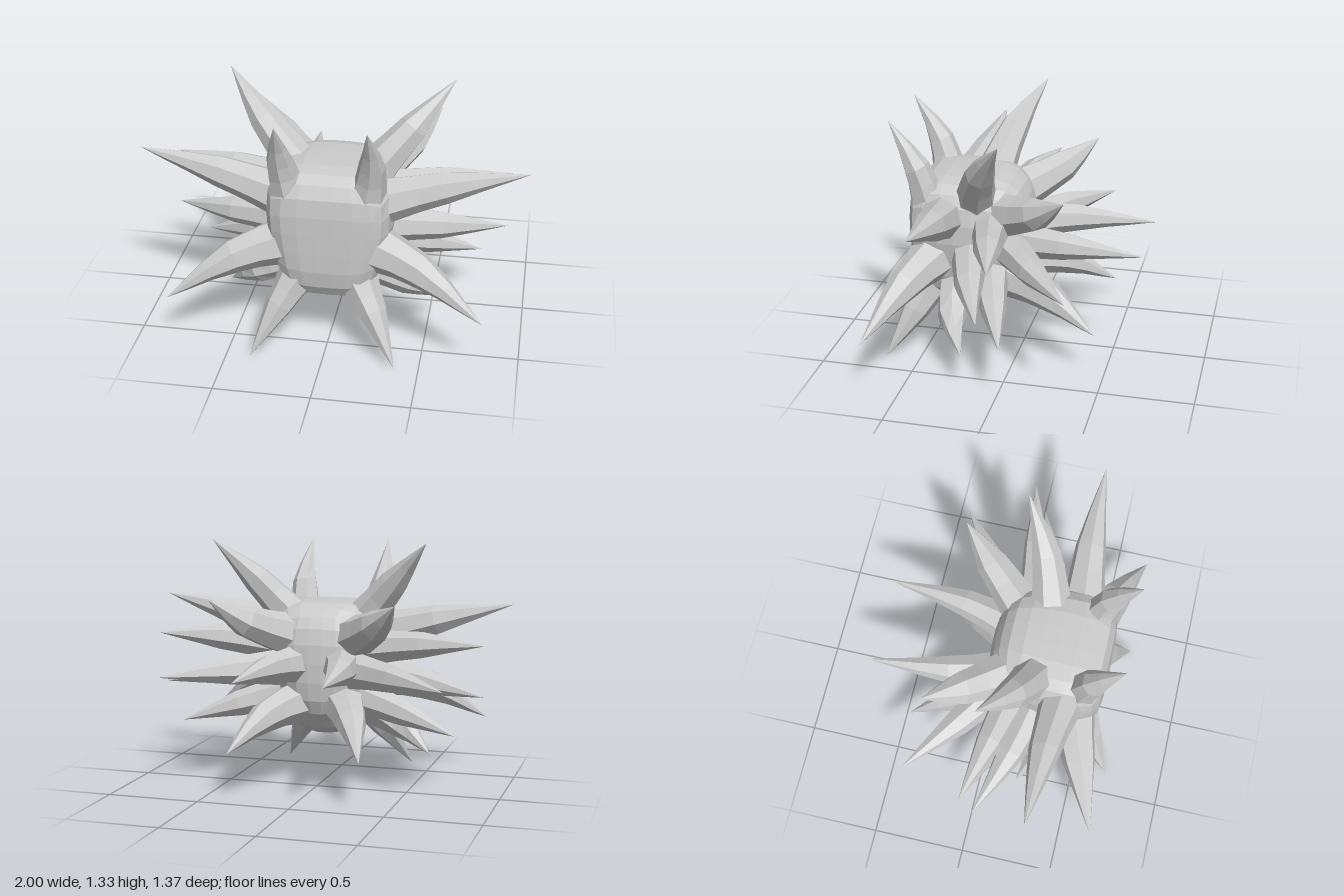
import * as THREE from 'three';

const material = new THREE.MeshStandardMaterial({ color: 0xcccccc, flatShading: true });

// Spikes on the +x side: name, root, bend and tip positions, thickness
const SPIKES = [
  ['upperFrontSpike', [0.20, 0.85, 0.465], [0.23, 1.06, 0.525], [0.225, 1.30, 0.67], 0.08],
  ['crownSpike', [0.19, 0.88, 0.22], [0.39, 1.11, 0.14], [0.59, 1.33, 0.00], 0.09],
  ['wideUpperSpike', [0.25, 0.80, 0.38], [0.58, 0.89, 0.35], [1.00, 0.99, 0.34], 0.096],
  ['upperBackSpike', [0.16, 0.80, 0.10], [0.36, 0.91, -0.14], [0.50, 1.035, -0.31], 0.10],
  ['sideUpperSpike', [0.23, 0.75, 0.13], [0.57, 0.79, 0.06], [0.905, 0.81, -0.02], 0.082],
  ['sideBackSpike', [0.17, 0.64, 0.06], [0.46, 0.635, -0.14], [0.765, 0.62, -0.37], 0.085],
  ['sideLowerSpike', [0.23, 0.60, 0.24], [0.55, 0.575, 0.165], [0.895, 0.53, 0.04], 0.085],
  ['wideLowerSpike', [0.22, 0.57, 0.43], [0.48, 0.50, 0.53], [0.81, 0.30, 0.67], 0.104],
  ['lowerSpike', [0.19, 0.42, 0.31], [0.40, 0.305, 0.30], [0.575, 0.17, 0.21], 0.09],
  ['lowerFrontSpike', [0.15, 0.40, 0.46], [0.245, 0.24, 0.55], [0.375, 0.00, 0.685], 0.086],
  ['backSpike', [0.13, 0.66, 0.03], [0.195, 0.675, -0.25], [0.235, 0.67, -0.68], 0.086],
  ['lowerBackSpike', [0.13, 0.45, 0.06], [0.24, 0.40, -0.18], [0.355, 0.25, -0.45], 0.096],
  ['sideRearLowerSpike', [0.20, 0.49, 0.14], [0.47, 0.42, 0.06], [0.76, 0.33, -0.04], 0.082],
];

// Rings along a spike: position along the curve and relative thickness
const RINGS = [[0, 1.28], [0.14, 1.14], [0.3, 1.0], [0.5, 0.87], [0.7, 0.54], [0.86, 0.26], [1, 0.004]];
const SIDES = 7;

function spikeGeometry(points, thickness) {
  const curve = new THREE.CatmullRomCurve3(points);
  const axis = points[2].clone().sub(points[0]).normalize();
  const ref = Math.abs(axis.y) > 0.6 ? new THREE.Vector3(0, 0, 1) : new THREE.Vector3(0, 1, 0);
  const positions = [];
  const index = [];
  RINGS.forEach(([t, scale], row) => {
    const centre = curve.getPoint(t);
    const dir = curve.getTangent(t);
    const side = new THREE.Vector3().crossVectors(ref, dir).normalize();
    const up = new THREE.Vector3().crossVectors(dir, side);
    for (let i = 0; i < SIDES; i++) {
      const a = (i / SIDES) * Math.PI * 2;
      const p = centre.clone()
        .addScaledVector(up, Math.cos(a) * thickness * scale)
        .addScaledVector(side, -Math.sin(a) * thickness * scale);
      positions.push(p.x, p.y, p.z);
      if (row === 0) continue;
      const j = (i + 1) % SIDES;
      const a0 = (row - 1) * SIDES + i, b0 = (row - 1) * SIDES + j;
      const a1 = row * SIDES + i, b1 = row * SIDES + j;
      index.push(a0, b0, b1, a0, b1, a1);
    }
  });
  const geometry = new THREE.BufferGeometry();
  geometry.setAttribute('position', new THREE.Float32BufferAttribute(positions, 3));
  geometry.setIndex(index);
  geometry.computeVertexNormals();
  return geometry;
}

// Rounded box body: boxier at the top and front, rounder and narrower below and behind
function bodyGeometry() {
  const geometry = new THREE.BoxGeometry(2, 2, 2, 7, 7, 7);
  const pos = geometry.attributes.position;
  for (let i = 0; i < pos.count; i++) {
    const v = new THREE.Vector3().fromBufferAttribute(pos, i);
    const n = 3.6 + 0.5 * v.y + 0.8 * v.z;
    const length = Math.pow(Math.abs(v.x) ** n + Math.abs(v.y) ** n + Math.abs(v.z) ** n, 1 / n);
    v.divideScalar(length);
    const taper = 1 - 0.2 * Math.max(0, 0.2 - v.y) - 0.15 * Math.max(0, -v.z);
    pos.setXYZ(i, v.x * 0.33 * taper, 0.625 + v.y * 0.368, 0.265 + v.z * 0.322);
  }
  geometry.computeVertexNormals();
  return geometry;
}

export function createModel() {
  const model = new THREE.Group();
  model.name = 'spikyBall';

  const body = new THREE.Mesh(bodyGeometry(), material);
  body.name = 'body';
  model.add(body);

  // Mirrored pairs of spikes
  for (const [name, root, bend, tip, thickness] of SPIKES) {
    for (const s of [1, -1]) {
      const points = [root, bend, tip].map(([x, y, z]) => new THREE.Vector3(s * x, y, z));
      const spike = new THREE.Mesh(spikeGeometry(points, thickness), material);
      spike.name = name + (s > 0 ? 'Left' : 'Right');
      model.add(spike);
    }
  }
  return model;
}
